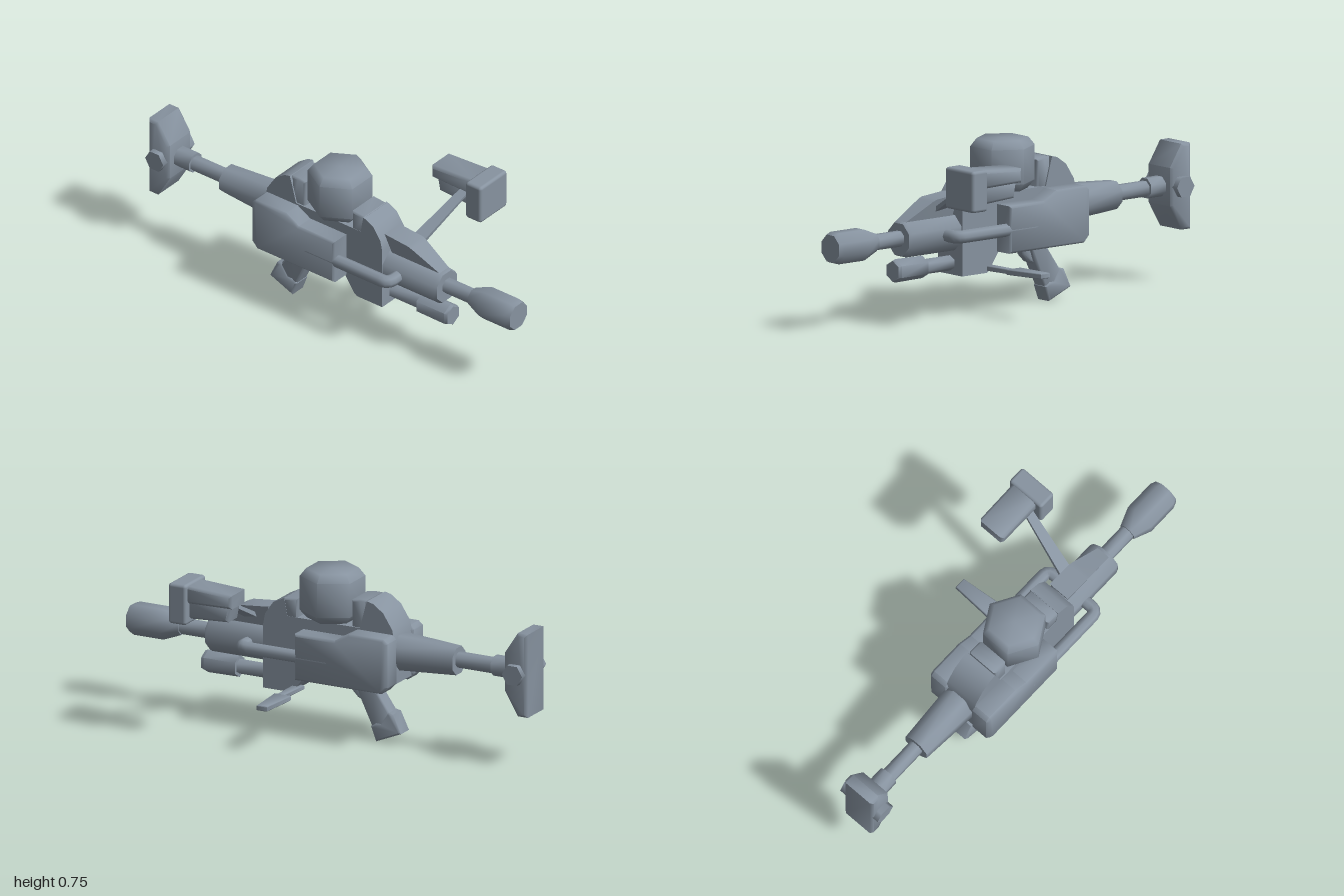
import * as THREE from 'three';
import { toCreasedNormals } from 'three/addons/utils/BufferGeometryUtils.js';
import { RoundedBoxGeometry } from 'three/addons/geometries/RoundedBoxGeometry.js';

const CZ = 0.146; // z of the weapon's centre line
const CREASE = 1.08;

export function createModel() {
  const model = new THREE.Group();
  model.name = 'rifle';
  const steel = new THREE.MeshStandardMaterial({ color: 0x8793a0 });
  steel.name = 'blue grey steel';

  function add(name, geometry, x = 0, y = 0, z = 0) {
    const mesh = new THREE.Mesh(geometry, steel);
    mesh.name = name;
    mesh.position.set(x, y, z);
    model.add(mesh);
    return mesh;
  }

  // Side outline (x, y) extruded symmetrically about z = 0, with chamfered rims
  function slab(points, width, bevel = 0.008) {
    const shape = new THREE.Shape(points.map(p => new THREE.Vector2(...p)));
    const g = new THREE.ExtrudeGeometry(shape, {
      depth: width - 2 * bevel, bevelEnabled: bevel > 0, bevelSegments: 1,
      bevelSize: bevel, bevelThickness: bevel, bevelOffset: -bevel,
    });
    g.translate(0, 0, -width / 2 + bevel);
    return toCreasedNormals(g, 0.85);
  }

  // Closed polygonal turning from [position, radius] pairs
  function turned(points, sides, phase = 0) {
    const ends = [[points[0][0], 0], ...points, [points[points.length - 1][0], 0]];
    const g = new THREE.LatheGeometry(ends.map(([h, r]) => new THREE.Vector2(r, h)), sides, phase);
    return toCreasedNormals(g, CREASE);
  }
  const turnedX = (points, sides, phase) => turned(points, sides, phase).rotateZ(-Math.PI / 2);

  // Shoulder stock
  add('shoulderPlate', slab([[-1, 0.24], [-0.95, 0.24], [-0.885, 0.35], [-0.885, 0.52],
    [-0.95, 0.62], [-1, 0.62]], 0.165, 0.012), 0, 0, CZ - 0.005);
  const bolt = new THREE.CylinderGeometry(0.05, 0.05, 0.22, 6, 1, false, Math.PI / 2).rotateX(Math.PI / 2);
  add('stockBolt', toCreasedNormals(bolt, CREASE), -0.942, 0.435, CZ - 0.006);
  add('stockCollar', turnedX([[-0.89, 0.047], [-0.8, 0.047]], 8, Math.PI / 8), 0, 0.432, CZ - 0.006);
  add('stockRod', turnedX([[-0.82, 0.036], [-0.6, 0.036]], 8, Math.PI / 8), 0, 0.43, CZ - 0.006);
  add('stockSocket', turnedX([[-0.62, 0.066], [-0.33, 0.086]], 8, Math.PI / 8), 0, 0.425, CZ - 0.006);

  // Central body with an arched hump behind and in front of the drum
  add('body', slab([[-0.34, 0.29], [0.1, 0.27], [0.155, 0.19], [0.17, 0.18], [0.31, 0.18],
    [0.31, 0.47], [0.3, 0.52], [0.26, 0.578], [0.205, 0.605], [0.19, 0.525], [-0.17, 0.525],
    [-0.195, 0.62], [-0.205, 0.652], [-0.235, 0.645], [-0.285, 0.61], [-0.33, 0.54], [-0.345, 0.47]],
  0.163, 0), 0, 0, CZ);
  add('rearDrumBlock', slab([[-0.2, 0.5], [-0.125, 0.5], [-0.125, 0.645], [-0.165, 0.652], [-0.2, 0.652]],
    0.15), 0, 0, CZ);
  add('frontDrumBlock', slab([[0.14, 0.5], [0.21, 0.5], [0.21, 0.603], [0.14, 0.61]], 0.16), 0, 0, CZ);

  // Hexagonal drum on top
  add('drum', turned([[0.525, 0.112], [0.56, 0.143], [0.715, 0.143], [0.75, 0.115]], 6), 0.01, 0, CZ);

  // Side pods and the pipes running forward from them
  for (const side of [1, -1]) {
    add(side > 0 ? 'leftPod' : 'rightPod', slab([[-0.32, 0.268], [0.11, 0.268], [0.11, 0.478],
      [-0.09, 0.478], [-0.16, 0.518], [-0.33, 0.518], [-0.35, 0.5], [-0.35, 0.3]],
    0.1, 0.01), 0, 0, CZ + side * 0.12);

    const z = CZ + side * 0.142;
    const path = new THREE.CurvePath();
    const v = (x, zz) => new THREE.Vector3(x, 0.37, zz);
    path.add(new THREE.LineCurve3(v(-0.05, z), v(0.355, z)));
    path.add(new THREE.QuadraticBezierCurve3(v(0.355, z), v(0.39, z), v(0.39, z - side * 0.035)));
    path.add(new THREE.LineCurve3(v(0.39, z - side * 0.035), v(0.39, CZ)));
    const name = side > 0 ? 'leftPipe' : 'rightPipe';
    add(name, new THREE.TubeGeometry(path, 40, 0.029, 8));
    add(name + 'End', turnedX([[-0.05, 0.029], [-0.03, 0.029]], 8), 0, 0.37, z);
  }

  // Front receiver with a raised wedge that is narrower at its foot
  add('frontReceiver', turnedX([[0.29, 0.084], [0.59, 0.084], [0.605, 0.076]], 8, Math.PI / 8), 0, 0.368, CZ);
  const wedge = slab([[0.33, 0.42], [0.59, 0.42], [0.6, 0.44], [0.45, 0.522], [0.43, 0.53], [0.3, 0.542]], 0.104, 0);
  const wp = wedge.attributes.position;
  for (let i = 0; i < wp.count; i++) {
    const t = THREE.MathUtils.clamp((wp.getY(i) - 0.42) / 0.11, 0, 1);
    wp.setZ(i, wp.getZ(i) * (0.5 + 0.5 * t));
  }
  add('receiverWedge', toCreasedNormals(wedge, 0.6), 0, 0, CZ);

  // Barrel, muzzle and the tube under the barrel
  add('barrel', turnedX([[0.59, 0.036], [0.77, 0.036]], 8, Math.PI / 8), 0, 0.372, CZ - 0.004);
  add('muzzle', turnedX([[0.75, 0.042], [0.83, 0.074], [0.975, 0.074], [1, 0.064]], 8, Math.PI / 8),
    0, 0.373, CZ - 0.004);
  add('lowerTube', turnedX([[0.3, 0.034], [0.48, 0.034]], 6, Math.PI / 2), 0, 0.23, CZ);
  add('lowerTubeCap', turnedX([[0.47, 0.05], [0.625, 0.052], [0.64, 0.046]], 6, Math.PI / 2), 0, 0.231, CZ);

  // Slanted grip, its foot and the trigger guard
  add('grip', slab([[-0.325, 0.09], [-0.215, 0.045], [-0.145, 0.19], [-0.11, 0.29], [-0.27, 0.29],
    [-0.22, 0.24]], 0.076), 0, 0, CZ);
  add('gripFoot', slab([[-0.35, 0.055], [-0.225, 0.003], [-0.2, 0.07], [-0.225, 0.09], [-0.25, 0.09],
    [-0.285, 0.143], [-0.31, 0.138]], 0.086), 0, 0, CZ);
  add('triggerGuard', slab([[-0.17, 0.168], [-0.125, 0.185], [-0.09, 0.22], [-0.07, 0.28], [-0.17, 0.28]],
    0.045), 0, 0, CZ);

  // Side lever: plan outline (x, -z) raised into a thin plate
  const plan = (points, thick) => slab(points, thick, 0.004).rotateX(-Math.PI / 2);
  add('leverStem', plan([[0.125, -0.1], [0.17, -0.1], [0.165, 0.08], [0.13, 0.08]], 0.022),
    0, 0.201, 0).rotation.x = 0.02;
  add('leverPaddle', plan([[0.095, 0.075], [0.178, 0.075], [0.155, 0.28], [0.103, 0.28]], 0.024),
    0, 0.201, 0).rotation.x = 0.025;

  // Offset sight on a thin tapering arm
  const from = new THREE.Vector3(0.395, 0.485, 0.115);
  const to = new THREE.Vector3(0.455, 0.645, -0.17);
  const dir = to.clone().sub(from);
  const armGeometry = new THREE.CylinderGeometry(0.029, 0.044, dir.length(), 4, 1, false, Math.PI / 4);
  const arm = add('sightArm', toCreasedNormals(armGeometry.scale(1, 1, 0.3), 0.6));
  arm.position.copy(from).add(to).multiplyScalar(0.5);
  arm.quaternion.setFromUnitVectors(new THREE.Vector3(0, 1, 0), dir.normalize());
  add('sightBody', slab([[0.272, 0.64], [0.5, 0.635], [0.5, 0.715], [0.272, 0.702]], 0.136, 0.012), 0, 0, -0.228);
  add('sightLowerBody', slab([[0.3, 0.572], [0.5, 0.56], [0.5, 0.65], [0.285, 0.65]], 0.1, 0.012), 0, 0, -0.228);
  add('sightHood', new RoundedBoxGeometry(0.088, 0.184, 0.188, 2, 0.014), 0.531, 0.631, -0.221);

  return model;
}
